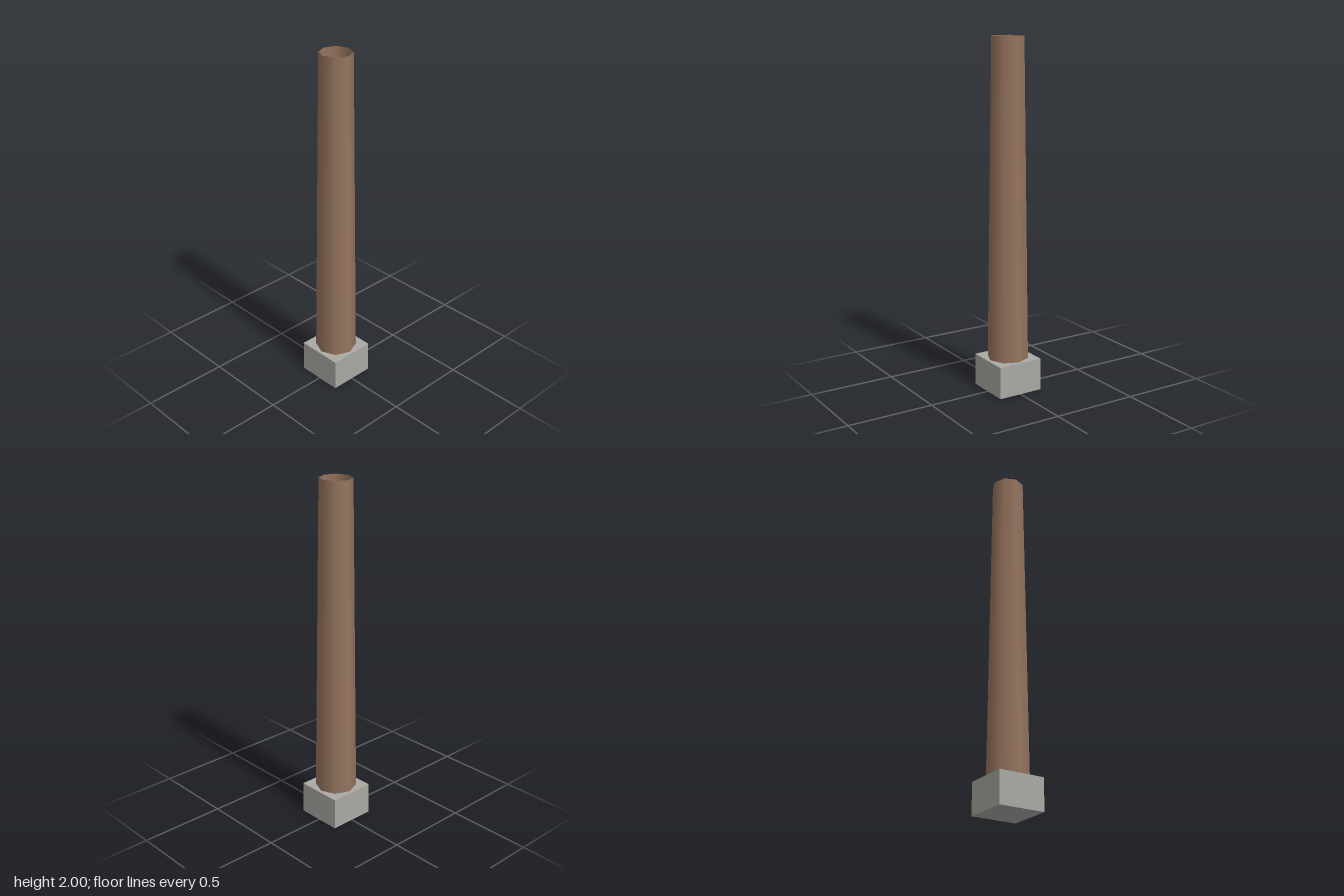
import * as THREE from 'three';

export function createModel() {
  const group = new THREE.Group();
  const baseWidth = 0.272, baseHeight = 0.185, totalHeight = 2;
  const shaftHeight = totalHeight - baseHeight;

  // Square stone footing
  const base = new THREE.Mesh(
    new THREE.BoxGeometry(baseWidth, baseHeight, baseWidth),
    new THREE.MeshStandardMaterial({ color: 0xaaa9a4 })
  );
  base.name = 'base';
  base.position.y = baseHeight / 2;
  group.add(base);

  // Tapered eight-sided wooden shaft, hollow and open at the top
  const shaft = new THREE.Mesh(
    new THREE.CylinderGeometry(0.091, 0.118, shaftHeight, 8, 1, true),
    new THREE.MeshStandardMaterial({ color: 0x96745f, side: THREE.DoubleSide })
  );
  shaft.name = 'shaft';
  shaft.position.y = baseHeight + shaftHeight / 2;
  group.add(shaft);

  return group;
}
